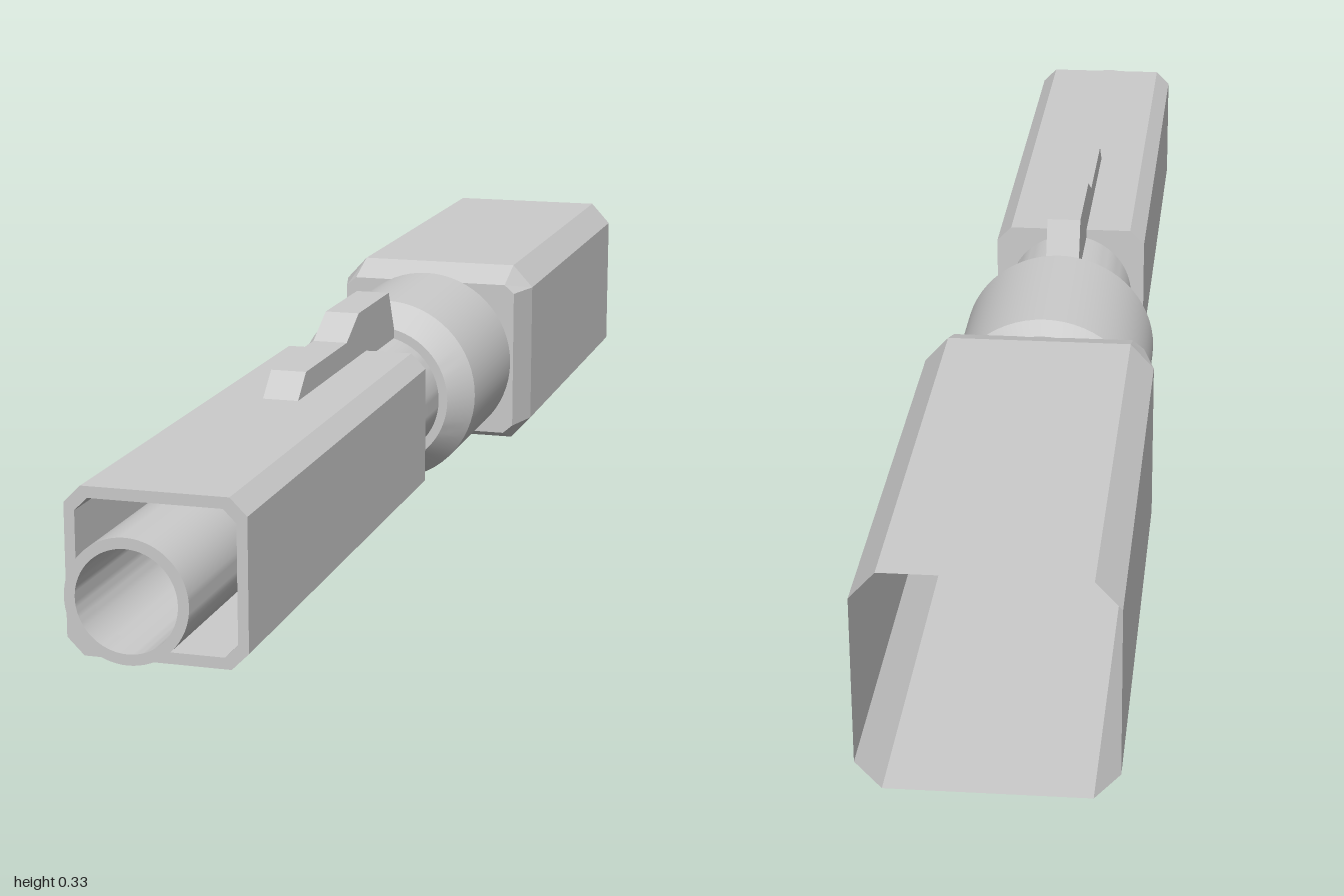
import * as THREE from 'three';
import { toCreasedNormals } from 'three/addons/utils/BufferGeometryUtils.js';

const AXIS_Y = 0.164;

// Chamfered rectangle, counter-clockwise seen from +z
function octagon(hx, hy, cx, cy, z) {
  return [
    [hx, -hy + cy], [hx, hy - cy], [hx - cx, hy], [-hx + cx, hy],
    [-hx, hy - cy], [-hx, -hy + cy], [-hx + cx, -hy], [hx - cx, -hy],
  ].map(([x, y]) => [x, y, z]);
}

// Flat-shaded skin through consecutive cross-sections
function loft(rings) {
  const pos = [];
  for (let r = 0; r < rings.length - 1; r++) {
    const a = rings[r], b = rings[r + 1], n = a.length;
    for (let i = 0; i < n; i++) {
      const j = (i + 1) % n;
      pos.push(...a[i], ...a[j], ...b[j], ...a[i], ...b[j], ...b[i]);
    }
  }
  const g = new THREE.BufferGeometry();
  g.setAttribute('position', new THREE.Float32BufferAttribute(pos, 3));
  g.computeVertexNormals();
  return g;
}

// Turned part along z from [radius, z] pairs
function turned(profile) {
  const g = new THREE.LatheGeometry(profile.map(([r, z]) => new THREE.Vector2(r, z)), 64);
  g.rotateX(Math.PI / 2);
  return toCreasedNormals(g, 0.4);
}

export function createModel() {
  const model = new THREE.Group();
  model.name = 'connector';
  const body = new THREE.Group();
  body.name = 'body';
  body.position.y = AXIS_Y;
  model.add(body);

  const solid = new THREE.MeshStandardMaterial({ color: 0xcccccc });
  const sheet = new THREE.MeshStandardMaterial({ color: 0xcccccc, side: THREE.DoubleSide });
  const add = (name, geometry, material = solid) => {
    const mesh = new THREE.Mesh(geometry, material);
    mesh.name = name;
    body.add(mesh);
    return mesh;
  };

  // Thin rear sleeve, open at the back, tapering to a closed front wall
  add('rearSleeve', loft([
    octagon(0.152, 0.14, 0.031, 0.034, -1),
    octagon(0.152, 0.14, 0.031, 0.034, -0.365),
    octagon(0.136, 0.119, 0.015, 0.013, -0.305),
    octagon(0, 0, 0, 0, -0.305),
  ]), sheet);

  // Round collar with bevelled ends
  add('collar', turned([
    [0, -0.31], [0.122, -0.31], [0.136, -0.285], [0.136, -0.055], [0.105, -0.012], [0, -0.012],
  ]));

  // Neck between collar and front housing
  add('neck', turned([[0.092, -0.02], [0.092, 0.14]]));

  // Hollow front housing
  add('frontHousing', loft([
    octagon(0, 0, 0, 0, 0.135),
    octagon(0.111, 0.102, 0.021, 0.021, 0.135),
    octagon(0.111, 0.102, 0.021, 0.021, 0.908),
    octagon(0.098, 0.088, 0.016, 0.016, 0.908),
    octagon(0.098, 0.088, 0.016, 0.016, 0.2),
    octagon(0, 0, 0, 0, 0.2),
  ]));

  // Hollow ferrule running out of the housing
  add('ferrule', turned([
    [0.074, 0.2], [0.074, 1], [0.061, 1], [0.061, 0.2], [0, 0.2],
  ]));

  // Stepped latches above and below, drawn as (z, height) side profiles
  const side = new THREE.Shape([
    [0.452, 0.1], [0.415, 0.133], [0.23, 0.133], [0.172, 0.163],
    [0.018, 0.163], [-0.015, 0.095], [-0.015, 0.09], [0.452, 0.09],
  ].map(([z, y]) => new THREE.Vector2(z, y)));
  const latch = new THREE.ExtrudeGeometry(side, { depth: 0.048, bevelEnabled: false });
  latch.translate(0, 0, -0.024).rotateY(-Math.PI / 2);
  add('topLatch', latch);
  add('bottomLatch', latch).rotation.z = Math.PI;

  return model;
}
